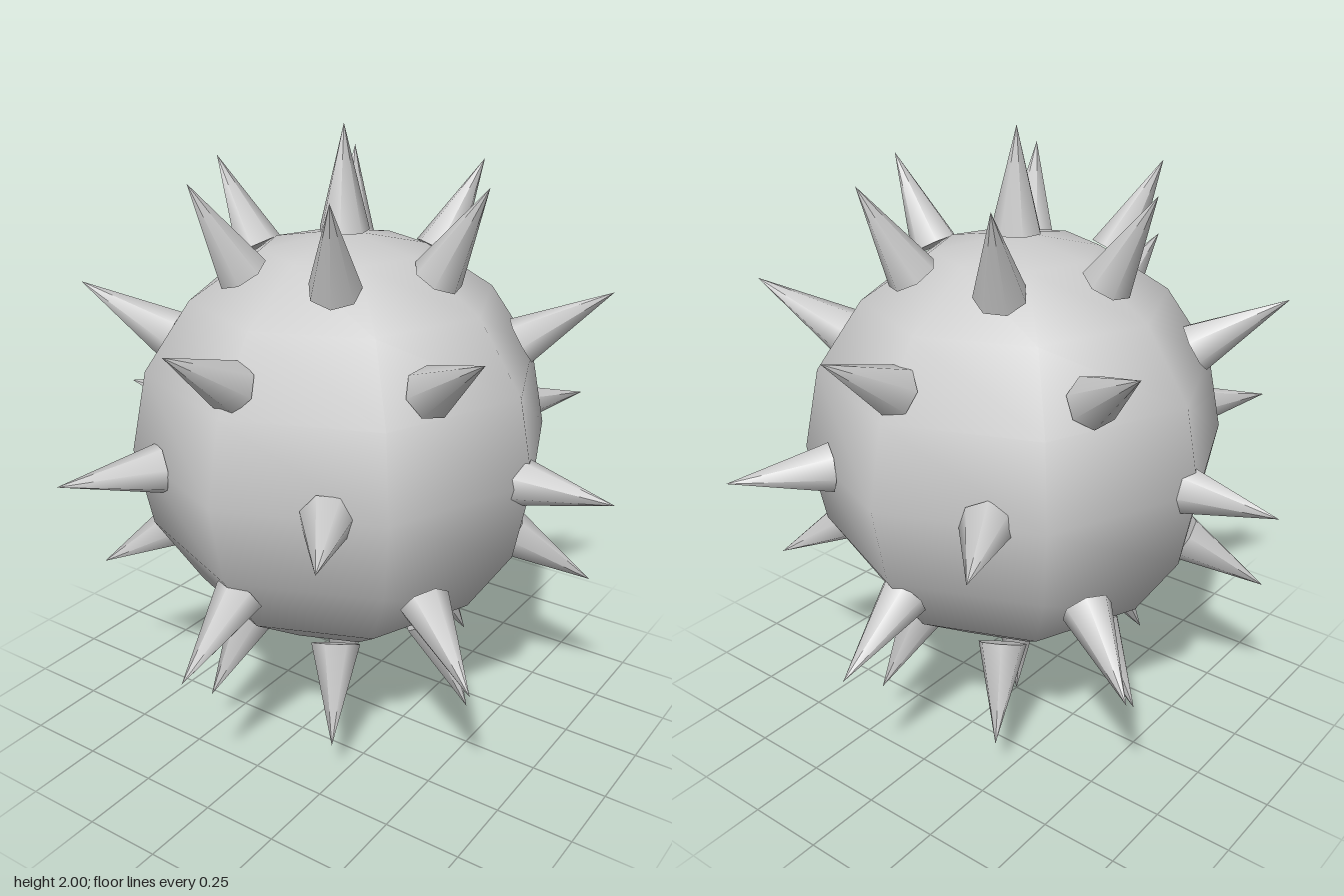
import * as THREE from 'three';

export function createModel() {
  const group = new THREE.Group();
  const material = new THREE.MeshStandardMaterial({ color: 0xcccccc });

  // coarse, smooth-shaded ball
  const ball = new THREE.Mesh(new THREE.SphereGeometry(0.68, 8, 8), material);
  ball.name = 'ball';
  ball.position.y = 1;
  group.add(ball);

  // seven-sided spike with its tip at the origin, pointing up
  const length = 0.32;
  const spikeGeometry = new THREE.ConeGeometry(0.08, length, 7, 1, false, Math.PI);
  spikeGeometry.translate(0, -length / 2, 0);

  const up = new THREE.Vector3(0, 1, 0);
  function addSpike(name, x, y, z) {
    const spike = new THREE.Mesh(spikeGeometry, material);
    const tip = new THREE.Vector3(x, y, z);
    spike.name = name;
    spike.quaternion.setFromUnitVectors(up, tip.clone().normalize());
    spike.position.copy(tip);
    ball.add(spike);
  }

  // spikes at both poles
  addSpike('topSpike', 0, 1, 0);
  addSpike('bottomSpike', 0, -1, 0);

  // rings of six: tip height, tip radius, starting angle
  const rings = [
    ['upperSpike', 0.86, 0.495, 0],
    ['upperMiddleSpike', 0.5, 0.833, Math.PI / 6],
    ['middleSpike', 0, 0.943, 0],
    ['lowerMiddleSpike', -0.5, 0.833, Math.PI / 6],
    ['lowerSpike', -0.86, 0.495, 0],
  ];
  for (const [name, y, radius, start] of rings) {
    for (let i = 0; i < 6; i++) {
      const angle = start + (i * Math.PI) / 3;
      addSpike(name + (i + 1), radius * Math.cos(angle), y, radius * Math.sin(angle));
    }
  }
  return group;
}
